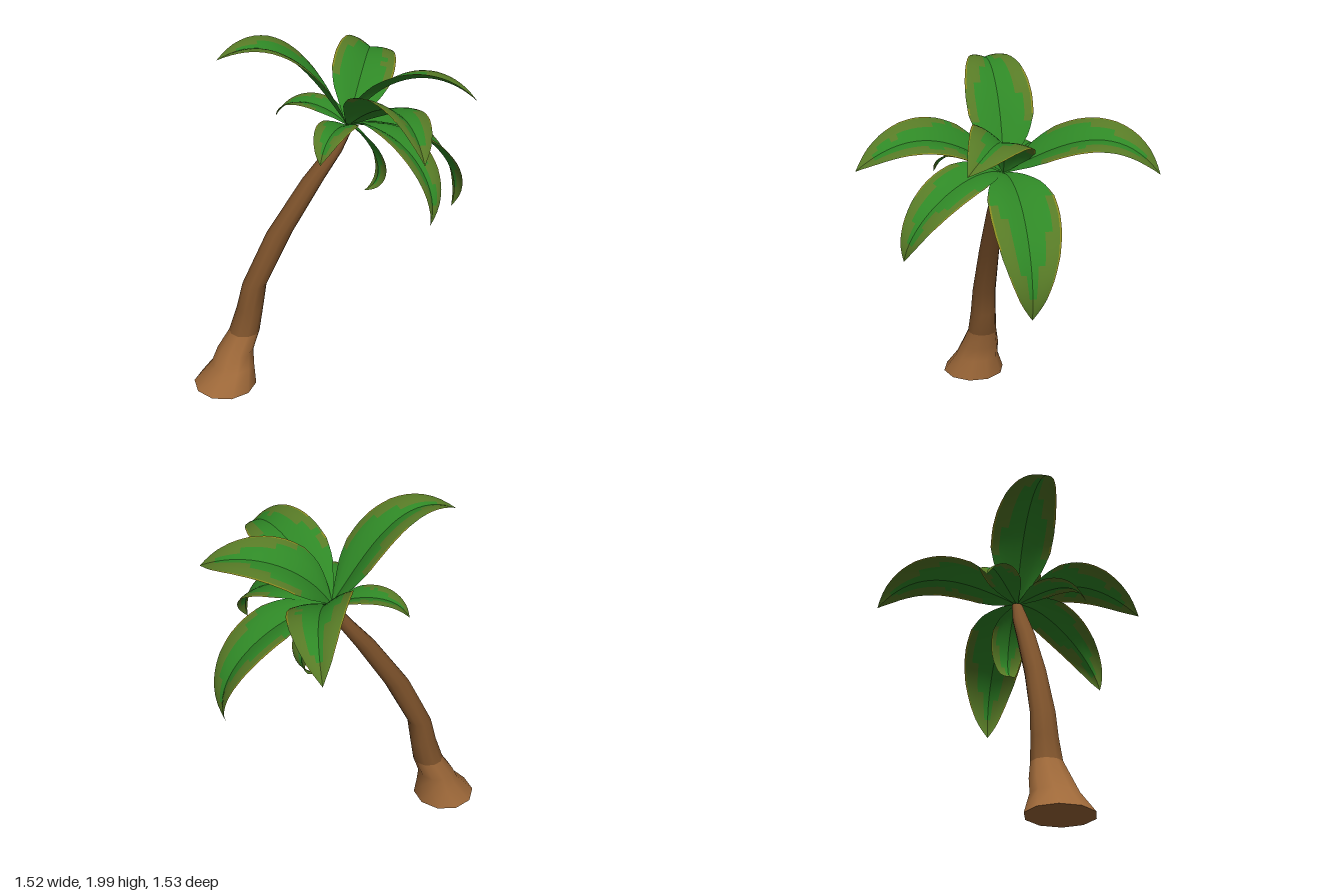
import * as THREE from 'three';

const mat = (name, color, side = THREE.FrontSide) => {
  const m = new THREE.MeshStandardMaterial({ color, side });
  m.name = name;
  return m;
};

// Small repeatable noise in 0..1
const noise = (a, b) => {
  const s = Math.sin(a * 12.9898 + b * 78.233) * 43758.5453;
  return s - Math.floor(s);
};

// Geometry with one group per index list
function grouped(positions, lists) {
  const geo = new THREE.BufferGeometry();
  geo.setAttribute('position', new THREE.Float32BufferAttribute(positions, 3));
  geo.setIndex(lists.flat());
  let start = 0;
  lists.forEach((list, k) => {
    geo.addGroup(start, list.length, k);
    start += list.length;
  });
  geo.computeVertexNormals();
  return geo;
}

// Trunk rings from the flared foot to the crown: y, centre x, centre z, radius x, radius z
const RINGS = [
  [0, -0.595, 0.01, 0.175, 0.18], [0.12, -0.545, 0, 0.118, 0.128],
  [0.2, -0.525, -0.015, 0.1, 0.112], [0.31, -0.47, -0.02, 0.085, 0.085],
  [0.45, -0.435, -0.02, 0.073, 0.074], [0.6, -0.405, -0.02, 0.066, 0.068],
  [0.9, -0.26, -0.02, 0.07, 0.058], [1.2, -0.07, -0.02, 0.06, 0.052],
  [1.35, 0.04, -0.02, 0.047, 0.046], [1.49, 0.125, -0.02, 0.028, 0.03],
];
const SIDES = 10;

function makeTrunk(materials) {
  const pos = [], lists = [[], []];
  for (const [y, cx, cz, rx, rz] of RINGS) {
    for (let i = 0; i < SIDES; i++) {
      const a = ((i + 0.5) / SIDES) * Math.PI * 2;
      pos.push(cx + Math.cos(a) * rx, y, cz + Math.sin(a) * rz);
    }
  }
  for (let j = 0; j < RINGS.length - 1; j++) {
    for (let i = 0; i < SIDES; i++) {
      const a = j * SIDES + i, b = j * SIDES + ((i + 1) % SIDES);
      lists[j < 3 ? 0 : 1].push(a, a + SIDES, b, b, a + SIDES, b + SIDES);
    }
  }
  const trunk = new THREE.Mesh(grouped(pos, lists), materials);
  trunk.name = 'trunk';
  return trunk;
}

const ROOT = new THREE.Vector3(0.12, 1.49, -0.02);
const WIDTHS = [0.05, 0.42, 0.78, 0.97, 1, 0.95, 0.82, 0.62, 0.36, 0];
const COLUMNS = [0, 0.25, 0.5, 0.72, 0.94, 1];
const STEPS = 24;

// Cubic curve from the crown root through points a and b to the tip
function midrib(a, b, tip) {
  const blend = (k0, k1, k2, k3) => new THREE.Vector3()
    .addScaledVector(ROOT, k0 / 6).addScaledVector(a, k1 / 6)
    .addScaledVector(b, k2 / 6).addScaledVector(tip, k3 / 6);
  return new THREE.CubicBezierCurve3(ROOT, blend(-5, 18, -9, 2), blend(2, -9, 18, -5), tip);
}

function widthAt(t) {
  const f = t * (WIDTHS.length - 1), i = Math.min(Math.floor(f), WIDTHS.length - 2);
  return THREE.MathUtils.lerp(WIDTHS[i], WIDTHS[i + 1], f - i);
}

// Material index: 0 green blade, 1 faded patches, 2 yellow rim
function leafPatch(t, u, seed) {
  const n = noise(Math.floor(t * 8) + seed * 3.1, seed);
  if (u > 0.94 && t > 0.35 && n > 0.35) return 2;
  const limit = 0.97 - 0.5 * THREE.MathUtils.smoothstep(t, 0.3, 0.85) - (t > 0.3 ? 0.3 * n : 0);
  return t > 0.86 || u > limit ? 1 : 0;
}

// A folded blade: two halves that share a creased midrib.
// Positive roll lifts the right-hand edge, seen from the root.
function makeLeaf(name, materials, seed, width, roll, ...points) {
  const [a, b, tip] = points.map((p) => new THREE.Vector3(...p));
  const curve = midrib(a, b, tip);
  const across = tip.clone().sub(ROOT).setY(0).normalize().cross(new THREE.Vector3(0, 1, 0));
  const pos = [], lists = [[], [], []], cols = COLUMNS.length;

  for (const sign of [1, -1]) {
    const base = pos.length / 3;
    for (let j = 0; j <= STEPS; j++) {
      const t = j / STEPS, p = curve.getPointAt(t), tangent = curve.getTangentAt(t);
      const side = across.clone().addScaledVector(tangent, -across.dot(tangent)).normalize();
      side.applyAxisAngle(tangent, -roll);
      const normal = side.clone().cross(tangent);
      for (const u of COLUMNS) {
        const half = widthAt(t) * width;
        const lift = half * 0.2 * Math.sin(u * Math.PI * 0.6);
        const v = p.clone().addScaledVector(side, sign * u * half).addScaledVector(normal, lift);
        pos.push(v.x, v.y, v.z);
      }
    }
    for (let j = 0; j < STEPS; j++) {
      for (let i = 0; i < cols - 1; i++) {
        const q = base + j * cols + i, r = q + 1, s = q + cols, w = s + 1;
        const patch = leafPatch((j + 0.5) / STEPS, (COLUMNS[i] + COLUMNS[i + 1]) / 2, seed + sign * 0.37);
        lists[patch].push(...(sign > 0 ? [q, r, s, r, w, s] : [q, s, r, r, s, w]));
      }
    }
  }
  const leaf = new THREE.Mesh(grouped(pos, lists), materials);
  leaf.name = name;
  return leaf;
}

function makeCrown(materials) {
  const crown = new THREE.Group();
  crown.name = 'crown';
  const add = (name, ...shape) =>
    crown.add(makeLeaf(name, materials, crown.children.length + 1, ...shape));

  // Large upper leaves: half width, roll, two midrib points, tip
  add('tallLeaf', 0.178, 0, [-0.07, 1.77, -0.04], [-0.29, 1.95, -0.04], [-0.565, 1.92, -0.04]);
  add('backLeaf', 0.17, -0.3, [0.265, 1.66, -0.28], [0.385, 1.71, -0.53], [0.455, 1.54, -0.765]);
  add('frontLeaf', 0.168, 0.35, [0.2, 1.67, 0.22], [0.265, 1.735, 0.48], [0.285, 1.605, 0.765]);
  add('sideLeaf', 0.165, 0.3, [0.3, 1.695, 0.015], [0.52, 1.77, 0.11], [0.725, 1.69, 0.28]);

  // Drooping leaves
  add('longDroopingLeaf', 0.178, 0, [0.42, 1.445, -0.04], [0.675, 1.23, -0.04], [0.73, 0.92, -0.04]);
  add('frontDroopingLeaf', 0.135, 0.3, [0.285, 1.515, 0.21], [0.4, 1.38, 0.435], [0.4, 1.15, 0.55]);
  add('innerDroopingLeaf', 0.1, 0, [0.22, 1.395, -0.03], [0.295, 1.22, -0.03], [0.22, 1.09, -0.03]);

  // Small leaves over the trunk
  add('smallFrontLeaf', 0.1, 0, [0.04, 1.55, 0.115], [-0.05, 1.545, 0.23], [-0.115, 1.44, 0.31]);
  add('smallBackLeaf', 0.1, 0, [0.02, 1.56, -0.12], [-0.11, 1.57, -0.215], [-0.21, 1.475, -0.275]);
  return crown;
}

// Flat underside of the foot
function makeFoot(material) {
  const [y, cx, cz, rx, rz] = RINGS[0];
  const foot = new THREE.Mesh(new THREE.CircleGeometry(1, SIDES, Math.PI / SIDES), material);
  foot.name = 'footUnderside';
  foot.rotation.x = Math.PI / 2;
  foot.scale.set(rx, rz, 1);
  foot.position.set(cx, y, cz);
  return foot;
}

export function createModel() {
  const lightBark = mat('light bark', 0xa06a3a);
  const bark = mat('bark', 0x7d522b);
  const leafMaterials = [
    mat('leaf green', 0x2f8826, THREE.DoubleSide),
    mat('faded leaf', 0x577a26, THREE.DoubleSide),
    mat('leaf rim', 0x87871f, THREE.DoubleSide),
  ];

  const model = new THREE.Group();
  model.name = 'palmTree';
  model.add(makeTrunk([lightBark, bark]), makeFoot(lightBark), makeCrown(leafMaterials));
  return model;
}
